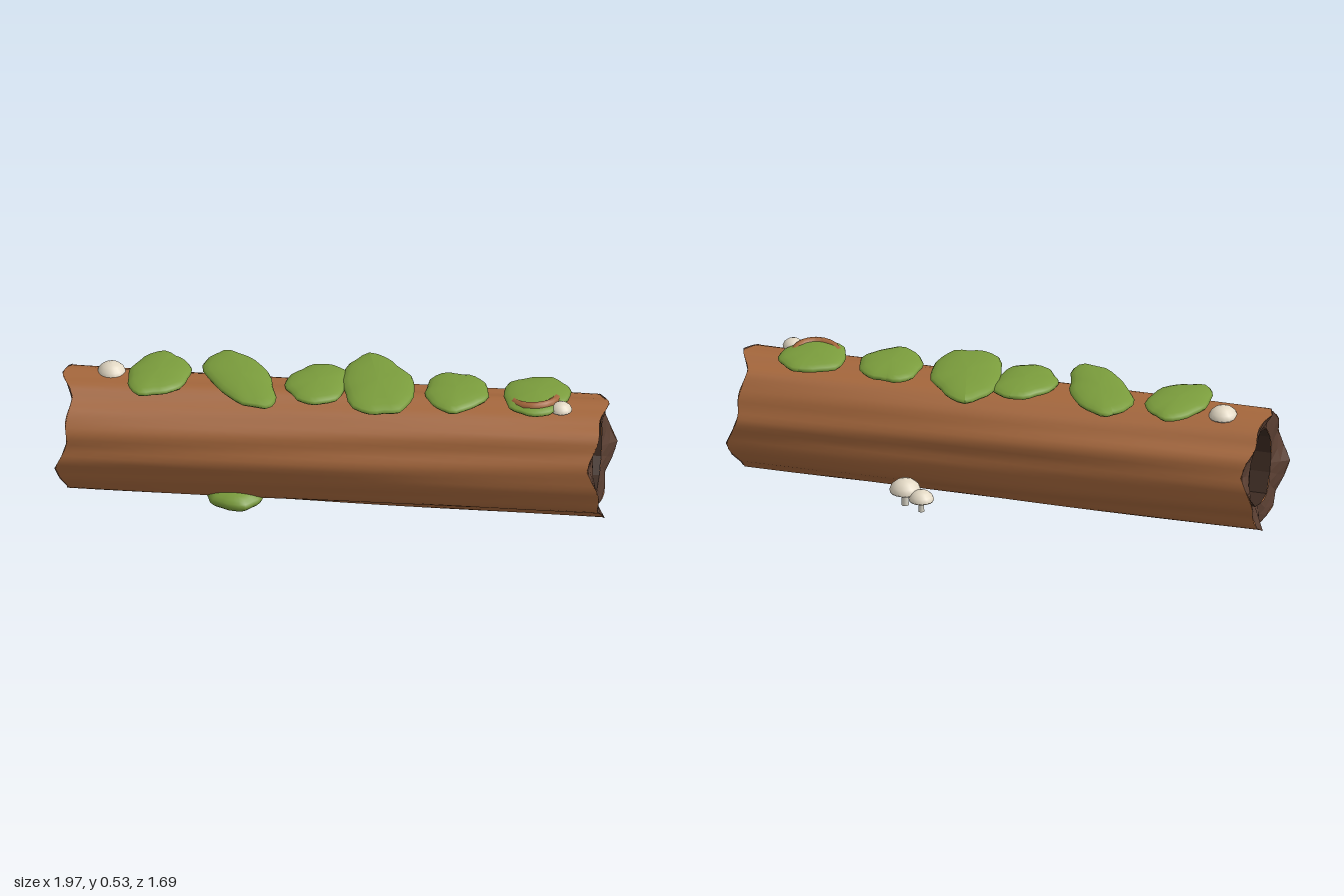
import * as THREE from 'three';
import { ParametricGeometry } from 'three/addons/geometries/ParametricGeometry.js';

const HALF = 1.05, RADIUS = 0.238, HOLE = 0.155, CENTER_Y = 0.252;
const TURN = Math.atan2(0.61, 0.793);

const mat = (color, flatShading = false) =>
  new THREE.MeshStandardMaterial({ color, flatShading, roughness: 1, side: THREE.DoubleSide });
const bark = mat(0xa5673c), wood = mat(0x5a3f32, true), hollow = mat(0x3d2b22, true);
const moss = mat(0x7a9c3c), cap = mat(0xe2d8c4), stem = mat(0xd6d2c4);

function add(parent, name, geometry, material) {
  const mesh = new THREE.Mesh(geometry, material);
  mesh.name = name;
  parent.add(mesh);
  return mesh;
}

// Uneven log radius and ragged ends, as rules of the angle
const barkRadius = (a, x) => RADIUS *
  (1 + 0.014 * Math.sin(9 * a + 1.5 * x) + 0.012 * Math.sin(5 * a - 2 * x) + 0.01 * Math.sin(14 * a + 3 * x));
const rag = (a, side) => 0.018 * Math.sin(3 * a + side) + 0.012 * Math.sin(7 * a + 2 * side);

// Surface around the log axis: f(angle, t) gives [x, radius]
function around(f, sides, steps) {
  return new ParametricGeometry((u, v, p) => {
    const a = u * Math.PI * 2, [x, r] = f(a, v);
    p.set(x, r * Math.cos(a), r * Math.sin(a));
  }, sides, steps);
}

function buildLog() {
  const log = new THREE.Group();
  log.name = 'log';
  log.position.y = CENTER_Y;
  log.rotation.y = TURN;
  add(log, 'bark', around((a, t) => {
    const x = (2 * t - 1) * HALF;
    const end = t < 0.5 ? -1 : 1;
    const ragged = x + rag(a, end) * Math.pow(Math.abs(2 * t - 1), 6);
    return [ragged, barkRadius(a, x)];
  }, 64, 24), bark);
  add(log, 'hollowCore', around((a, t) => [
    (1 - 2 * t) * (HALF - 0.02), HOLE * (1 + 0.05 * Math.sin(3 * a) + 0.04 * Math.sin(5 * a + 1)),
  ], 12, 6), hollow);
  // Broken wood rings closing the wall at each end
  for (const side of [-1, 1]) {
    add(log, 'endRing', around((a, t) => {
      const out = side > 0 ? 1 - t : t;
      const inner = HOLE * (1 + 0.05 * Math.sin(3 * a) + 0.04 * Math.sin(5 * a + 1));
      const outer = barkRadius(a, side * HALF) * 1.015;
      const x = side * (HALF - 0.02) + out * (side * 0.02 + rag(a, side) * 1.15);
      return [x, inner + (outer - inner) * out];
    }, 24, 2), wood);
  }
  return log;
}

// Flat irregular cushion; long axis points along (dx, dz)
function mossPatch(x, y, z, long, short, height, dx, dz, seed) {
  const g = new THREE.SphereGeometry(1, 28, 10), p = g.attributes.position;
  for (let i = 0; i < p.count; i++) {
    const a = Math.atan2(p.getZ(i), p.getX(i));
    const k = 1 + 0.05 * Math.sin(3 * a + seed) + 0.035 * Math.sin(5 * a + 2 * seed) + 0.02 * Math.sin(9 * a + seed);
    p.setXYZ(i, p.getX(i) * k * long, p.getY(i) * height, p.getZ(i) * k * short);
  }
  g.computeVertexNormals();
  const mesh = new THREE.Mesh(g, moss);
  mesh.name = 'mossPatch';
  mesh.position.set(x, y, z);
  mesh.rotation.y = -Math.atan2(dz, dx);
  return mesh;
}

function mushroom(x, y, z, r) {
  const group = new THREE.Group();
  group.name = 'mushroom';
  group.position.set(x, y, z);
  const dome = [[0, 0], [0.6, -0.03], [0.97, -0.04], [1, 0.08], [0.88, 0.38], [0.6, 0.62], [0.3, 0.74], [0, 0.78]]
    .map(([a, b]) => new THREE.Vector2(a * r, b * r));
  add(group, 'mushroomCap', new THREE.LatheGeometry(dome, 18), cap);
  add(group, 'mushroomStem', new THREE.CylinderGeometry(0.18 * r, 0.24 * r, r, 10), stem).position.y = -0.5 * r;
  return group;
}

export function createModel() {
  const model = new THREE.Group();
  model.name = 'hollowLog';
  model.add(buildLog());

  // Moss along the top, plus one cushion low on the front
  [
    [-0.56, 0.503, 0.42, 0.17, 0.12, 0.027, 0.45, 0.89],
    [-0.30, 0.505, 0.225, 0.235, 0.115, 0.029, 0.92, 0.38],
    [-0.06, 0.502, 0.04, 0.155, 0.12, 0.027, 0.5, 0.87],
    [0.12, 0.506, -0.11, 0.235, 0.14, 0.03, 0.78, 0.62],
    [0.375, 0.503, -0.29, 0.15, 0.125, 0.027, 0.7, 0.71],
    [0.62, 0.503, -0.49, 0.15, 0.13, 0.027, 0.5, 0.87],
    [-0.21, 0.06, 0.35, 0.11, 0.085, 0.04, 0.79, -0.61],
  ].forEach((m, i) => model.add(mossPatch(...m, i * 1.7)));

  // Knot ring beside the last cushion
  const knot = add(model, 'knot', new THREE.TorusGeometry(0.085, 0.02, 8, 20), bark);
  knot.position.set(0.63, 0.5, -0.47);
  knot.rotation.set(Math.PI / 2 - 0.1, 0.16, 0);

  [
    [-0.73, 0.48, 0.51, 0.057],
    [0.755, 0.495, -0.49, 0.042],
    [0.13, 0.085, -0.405, 0.062],
    [0.05, 0.07, -0.385, 0.05],
  ].forEach((m) => model.add(mushroom(...m)));
  return model;
}
